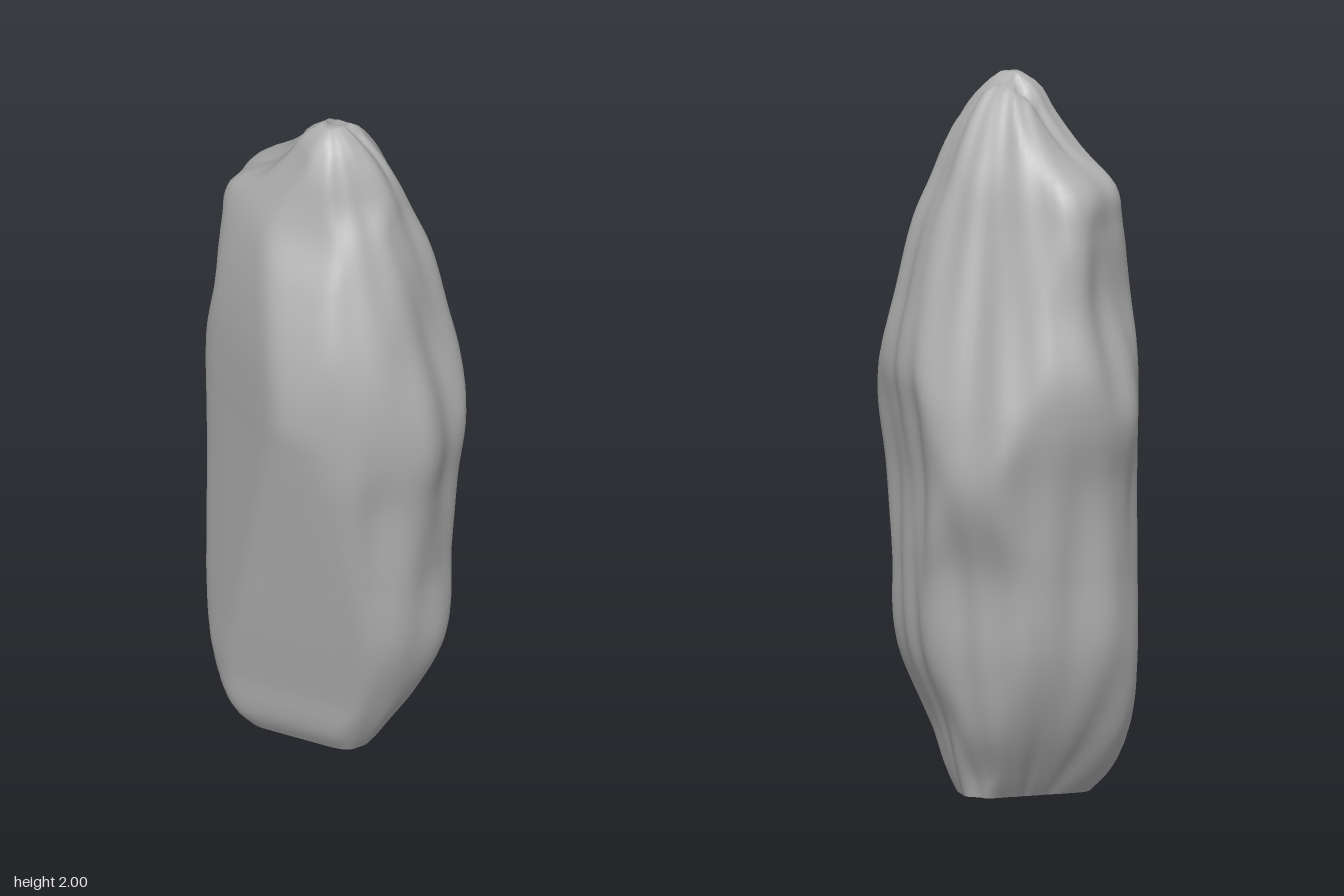
import * as THREE from 'three';

// Reach of the rock at each height, towards the directions listed below
const DIRS = [0, 45, 90, 128, 180, 225, 270, 315, 155, 67].map(THREE.MathUtils.degToRad);
const CORNER_CUTS = [.352, .385]; // constant reach of the last two directions
const ROWS = [
  // y, right, frontRight, front, frontLeftCut, left, backLeft, back, backRight
  [0, .14, .15, .12, .205, .19, .085, .13, .15],
  [.05, .17, .18, .15, .25, .235, .12, .145, .165],
  [.2, .26, .25, .18, .283, .317, .21, .22, .20],
  [.4, .35, .32, .222, .288, .36, .285, .268, .27],
  [.65, .345, .345, .27, .288, .355, .32, .29, .29],
  [.9, .362, .37, .318, .288, .36, .35, .368, .29],
  [1.08, .39, .40, .352, .288, .392, .39, .352, .31],
  [1.2, .375, .40, .37, .288, .372, .40, .325, .325],
  [1.4, .31, .36, .34, .28, .32, .36, .272, .295],
  [1.6, .26, .285, .265, .25, .31, .33, .22, .245],
  [1.72, .22, .23, .20, .215, .29, .29, .188, .195],
  [1.8, .197, .18, .17, .17, .18, .21, .155, .165],
  [1.9, .145, .13, .13, .11, .10, .125, .11, .12],
  [1.97, .08, .08, .08, .07, .06, .06, .06, .07],
  [2, .04, .04, .05, .03, .02, .02, .03, .03],
];
const SIDES = 96, RINGS = 90;

const heights = ROWS.map(r => r[0]);
const reaches = new THREE.CubicInterpolant(heights, ROWS.flatMap(r => r.slice(1)), 8, new Float32Array(8));

// Softly rounded polygon bounded by the reaches, with slanting grooves
function radius(angle, y, reach) {
  let sum = 0;
  DIRS.forEach((d, k) => { sum += Math.pow(Math.max(0, Math.cos(angle - d)) / reach[k], 26); });
  const r = Math.pow(sum, -1 / 26);
  const smoothFace = THREE.MathUtils.smoothstep(Math.cos(angle - 1.95), .3, .8);
  const groove = Math.sin(angle * 11 + y * 3.2) + .6 * Math.sin(angle * 17 - y * 4 + 1) + .5 * Math.sin(y * 9 + angle * 3);
  return r * (1 + .015 * groove * (1 - smoothFace));
}

export function createModel() {
  const stone = new THREE.MeshStandardMaterial({ color: 0xb0b0b0 });
  stone.name = 'grey stone';
  const group = new THREE.Group();
  group.name = 'standing rock';

  function addPart(name, pos, idx) {
    const geo = new THREE.BufferGeometry();
    geo.setAttribute('position', new THREE.Float32BufferAttribute(pos, 3));
    geo.setIndex(idx);
    geo.computeVertexNormals();
    const mesh = new THREE.Mesh(geo, stone);
    mesh.name = name;
    group.add(mesh);
  }

  // Rock body, lofted ring by ring
  const pos = [], idx = [];
  for (let j = 0; j <= RINGS; j++) {
    const y = 2 * j / RINGS;
    const reach = [...reaches.evaluate(y), ...CORNER_CUTS];
    const shift = THREE.MathUtils.smoothstep(y, 1.75, 2);
    for (let i = 0; i < SIDES; i++) {
      const a = i / SIDES * Math.PI * 2, r = radius(a, y, reach);
      const x = r * Math.cos(a) + .01 * shift, z = r * Math.sin(a) + .02 * shift;
      // Shallow cleft between the two peaks
      const cleft = .035 * shift * Math.exp(-(((z + .01) / .018) ** 2));
      pos.push(x, y - cleft, z);
      if (j < RINGS) {
        const n = (i + 1) % SIDES, p = j * SIDES + i, q = j * SIDES + n;
        idx.push(p, p + SIDES, q, q, p + SIDES, q + SIDES);
      }
    }
  }
  // Closed tip
  const tip = pos.length / 3, last = RINGS * SIDES;
  pos.push(.01, 2, .035);
  for (let i = 0; i < SIDES; i++) idx.push(last + i, tip, last + (i + 1) % SIDES);
  addPart('rockBody', pos, idx);

  // Flat underside
  const baseIdx = [];
  for (let i = 0; i < SIDES; i++) baseIdx.push(SIDES, i, (i + 1) % SIDES);
  addPart('rockBase', [...pos.slice(0, SIDES * 3), 0, 0, 0], baseIdx);
  return group;
}
